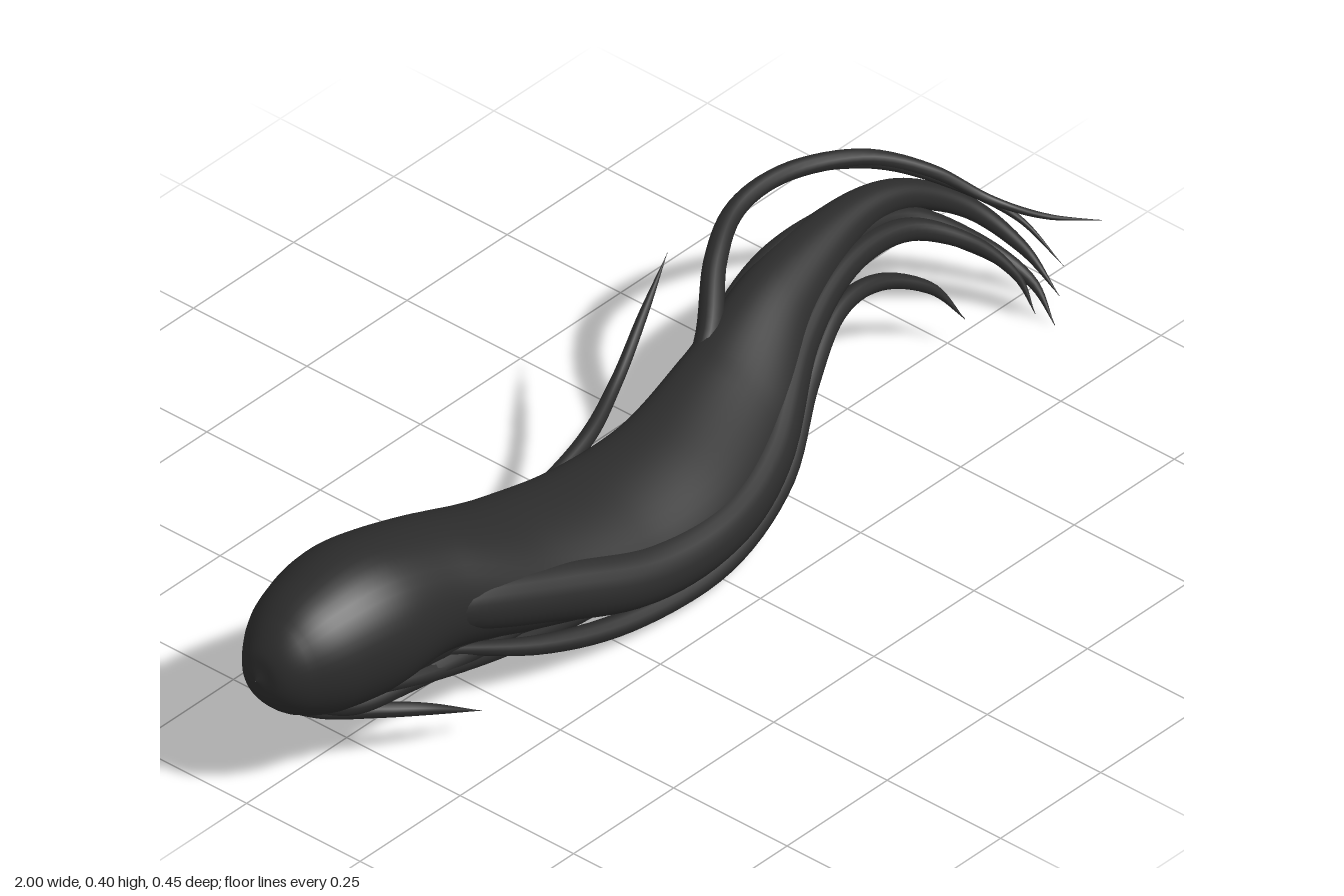
import * as THREE from 'three';

const hair = new THREE.MeshStandardMaterial({ color: 0x2b2b2b });
hair.name = 'charcoal hair';

// Sweeps a rolled ellipse along stations of [x, y, z, half height, half depth, roll].
function lock(name, stations, steps = 80, sides = 24) {
  const path = new THREE.CatmullRomCurve3(
    stations.map(s => new THREE.Vector3(s[0], s[1], s[2])), false, 'catmullrom', 0.5);
  const size = new THREE.CatmullRomCurve3(
    stations.map(s => new THREE.Vector3(s[3], s[4] ?? s[3], s[5] ?? 0)), false, 'catmullrom', 0.5);
  const position = [], index = [];
  const front = new THREE.Vector3(0, 0, 1);
  for (let i = 0; i <= steps; i++) {
    const t = i / steps;
    const c = path.getPoint(t), d = path.getTangent(t), r = size.getPoint(t);
    const n = front.clone().cross(d).normalize();
    const s = d.clone().cross(n).normalize();
    for (let j = 0; j < sides; j++) {
      const a = j / sides * Math.PI * 2;
      const u = Math.cos(a) * Math.max(r.x, 0.0005), v = Math.sin(a) * Math.max(r.y, 0.0005);
      const up = u * Math.cos(r.z) - v * Math.sin(r.z);
      const out = u * Math.sin(r.z) + v * Math.cos(r.z);
      const p = c.clone().addScaledVector(n, up).addScaledVector(s, out);
      position.push(p.x, p.y, p.z);
      if (i < steps) {
        const k = i * sides, m = (j + 1) % sides;
        index.push(k + j, k + m, k + sides + j, k + m, k + sides + m, k + sides + j);
      }
    }
  }
  const geometry = new THREE.BufferGeometry();
  geometry.setAttribute('position', new THREE.Float32BufferAttribute(position, 3));
  geometry.setIndex(index);
  geometry.computeVertexNormals();
  const mesh = new THREE.Mesh(geometry, hair);
  mesh.name = name;
  return mesh;
}

export function createModel() {
  const group = new THREE.Group();
  group.name = 'ponytail';

  // Rounded root flowing into the broad upper clump
  group.add(lock('mainClump', [
    [-1, 0.26, 0.02, 0, 0, 0],
    [-0.985, 0.26, 0.02, 0.05, 0.045, 0],
    [-0.94, 0.262, 0.023, 0.095, 0.085, 0],
    [-0.87, 0.265, 0.025, 0.125, 0.115, 0],
    [-0.76, 0.266, 0.027, 0.138, 0.132, 0.05],
    [-0.6, 0.25, 0.034, 0.115, 0.121, 0.2],
    [-0.4, 0.202, 0.062, 0.087, 0.126, 0.45],
    [-0.2, 0.165, 0.08, 0.073, 0.135, 0.5],
    [0, 0.157, 0.07, 0.07, 0.133, 0.55],
    [0.2, 0.186, 0.015, 0.06, 0.114, 0.65],
    [0.4, 0.245, -0.064, 0.048, 0.073, 0.7],
    [0.6, 0.266, -0.11, 0.038, 0.043, 0.5],
    [0.75, 0.25, -0.112, 0.029, 0.028, 0.3],
    [0.87, 0.185, -0.07, 0.019, 0.017, 0],
    [0.935, 0.1, 0, 0.011, 0.01, 0],
    [0.95, 0.025, 0.07, 0, 0, 0]], 150, 40));

  // Heavy clump underneath
  group.add(lock('underClump', [
    [-0.92, 0.23, 0.03, 0.03, 0.03],
    [-0.78, 0.21, 0.032, 0.08, 0.08],
    [-0.6, 0.185, 0.035, 0.078, 0.085],
    [-0.4, 0.132, 0.045, 0.075, 0.08],
    [-0.2, 0.092, 0.055, 0.072, 0.073],
    [0, 0.086, 0.05, 0.067, 0.065],
    [0.2, 0.142, 0.002, 0.058, 0.058],
    [0.4, 0.218, -0.067, 0.046, 0.045],
    [0.58, 0.245, -0.098, 0.035, 0.034],
    [0.74, 0.215, -0.095, 0.025, 0.023],
    [0.85, 0.14, -0.03, 0.018, 0.016],
    [0.905, 0.07, 0.045, 0.01, 0.009],
    [0.905, 0.003, 0.1, 0, 0]]));

  // Rolled lock that folds out of the root and down along the front
  group.add(lock('frontLock', [
    [-0.76, 0.31, 0.1, 0.01, 0.01],
    [-0.6, 0.25, 0.112, 0.048, 0.047],
    [-0.4, 0.183, 0.139, 0.056, 0.055],
    [-0.2, 0.123, 0.165, 0.056, 0.056],
    [0, 0.108, 0.157, 0.052, 0.052],
    [0.18, 0.132, 0.105, 0.047, 0.045],
    [0.38, 0.202, 0, 0.034, 0.033],
    [0.56, 0.232, -0.06, 0.027, 0.025],
    [0.72, 0.215, -0.07, 0.021, 0.019],
    [0.83, 0.155, -0.02, 0.014, 0.012],
    [0.885, 0.085, 0.03, 0.008, 0.008],
    [0.89, 0.02, 0.07, 0, 0]]));

  // Parallel ridges down the back
  for (let i = 0; i < 3; i++) {
    const k = i / 2, dy = -0.05 * k, dz = 0.04 * k;
    group.add(lock('backLock' + (i + 1), [
      [-0.5, 0.2 + dy, -0.01 + dz, 0.02],
      [-0.25, 0.15 + dy, -0.008 + dz, 0.032],
      [0, 0.148 + dy, -0.024 + dz, 0.034],
      [0.2, 0.205 + dy, -0.068 + dz, 0.03],
      [0.42, 0.273 + dy, -0.117 + dz, 0.026],
      [0.62, 0.274 + dy * 0.8, -0.127 + dz * 0.7, 0.02],
      [0.76, 0.245 + dy * 0.6, -0.115 + dz * 0.5, 0.012],
      [0.85, 0.195 + dy * 0.6, -0.08 + dz * 0.5, 0]], 70, 16));
  }

  // Loose strands peeling away from the body
  const strands = {
    lowerStrand: [
      [-0.62, 0.16, 0.1, 0.01], [-0.42, 0.085, 0.145, 0.017], [-0.22, 0.042, 0.168, 0.02],
      [0, 0.035, 0.168, 0.02], [0.2, 0.072, 0.12, 0.02], [0.36, 0.143, 0.035, 0.02],
      [0.5, 0.187, -0.025, 0.018], [0.62, 0.178, -0.037, 0.015], [0.72, 0.125, -0.01, 0.01],
      [0.76, 0.06, 0.03, 0]],
    upperStrand: [
      [0.1, 0.2, -0.02, 0.014], [0.23, 0.255, -0.07, 0.022], [0.34, 0.316, -0.15, 0.02],
      [0.45, 0.343, -0.2, 0.017], [0.58, 0.345, -0.203, 0.016], [0.72, 0.32, -0.16, 0.015],
      [0.82, 0.268, -0.1, 0.012], [0.89, 0.205, -0.03, 0.008], [0.94, 0.182, 0.05, 0.005],
      [1, 0.175, 0.12, 0]],
    upperTwinStrand: [
      [0.6, 0.342, -0.2, 0.006], [0.74, 0.305, -0.15, 0.012], [0.84, 0.245, -0.085, 0.01],
      [0.92, 0.17, 0, 0.006], [0.95, 0.09, 0.08, 0]],
    upperWisp: [
      [-0.3, 0.21, -0.02, 0.012], [-0.1, 0.225, -0.055, 0.014], [0.04, 0.25, -0.105, 0.011],
      [0.16, 0.305, -0.15, 0.008], [0.26, 0.36, -0.185, 0]],
    rootWisp: [
      [-0.95, 0.19, 0.02, 0.01], [-0.86, 0.135, 0.04, 0.014], [-0.77, 0.11, 0.085, 0.014],
      [-0.69, 0.09, 0.13, 0.01], [-0.6, 0.055, 0.165, 0]],
    rootFold: [
      [-0.93, 0.19, 0.05, 0.01], [-0.82, 0.145, 0.075, 0.02], [-0.7, 0.136, 0.09, 0.022],
      [-0.55, 0.125, 0.1, 0.022], [-0.4, 0.1, 0.1, 0.01]],
    bottomStrand: [
      [-0.8, 0.17, 0.09, 0.012], [-0.66, 0.135, 0.1, 0.018], [-0.45, 0.085, 0.1, 0.02],
      [-0.2, 0.04, 0.087, 0.022], [0.05, 0.04, 0.067, 0.022], [0.25, 0.105, 0.015, 0.018],
      [0.42, 0.185, -0.052, 0.015], [0.6, 0.215, -0.085, 0.01]],
  };
  for (const [name, stations] of Object.entries(strands)) group.add(lock(name, stations, 60, 12));

  return group;
}
